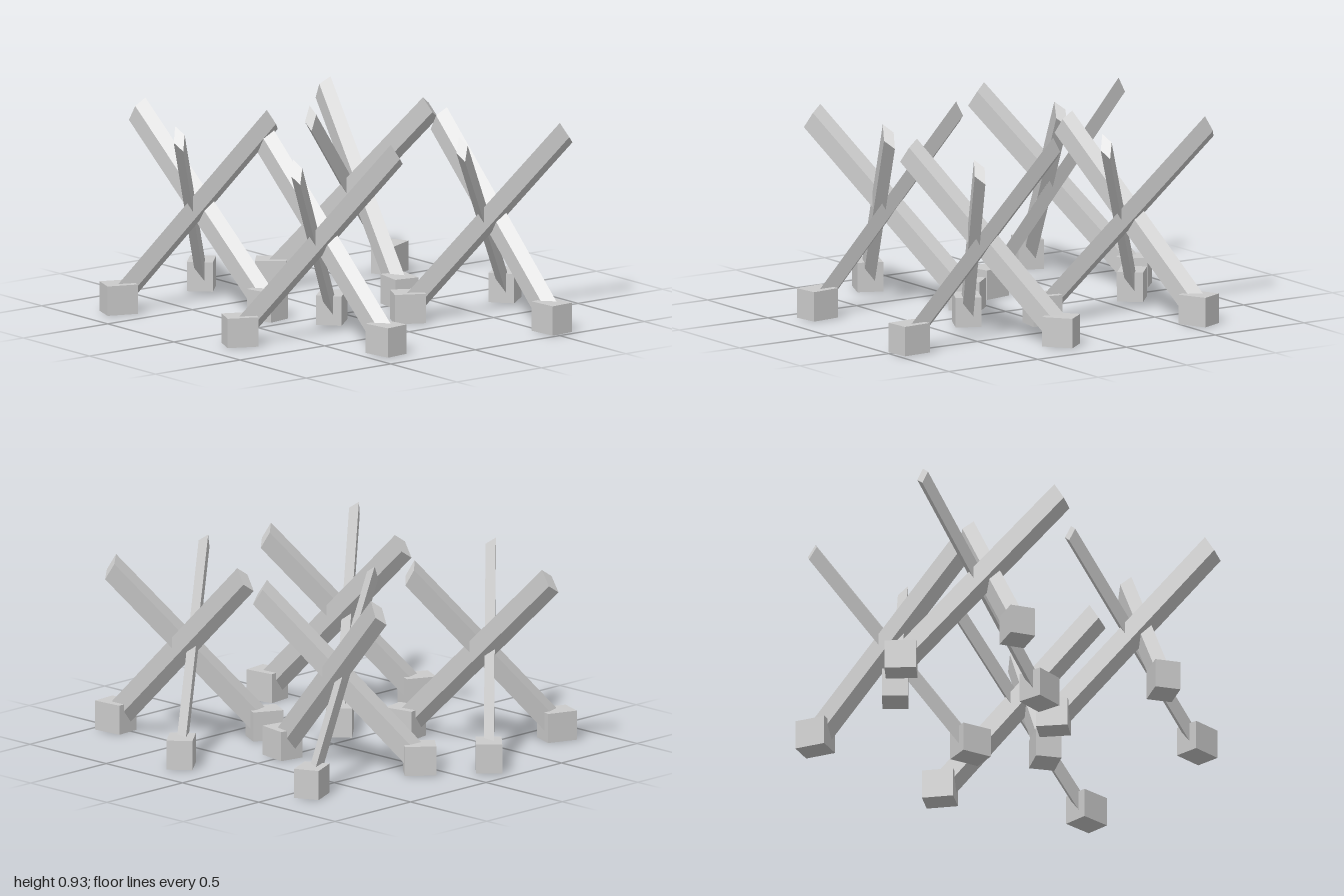
import * as THREE from 'three';

const material = new THREE.MeshStandardMaterial({ color: 0xcccccc });
const UP = new THREE.Vector3(0, 1, 0);

// Foot block centres and beam top ends of one obstacle, as [x, z]
const LEGS = [
  { foot: [-0.345, -0.165], tip: [0.302, 0.203] },
  { foot: [0.3, -0.257], tip: [-0.305, 0.191] },
  { foot: [0.044, 0.424], tip: [0.028, -0.41] },
];

// Obstacle centres and turns about the vertical (degrees)
const PLACES = [
  { x: -0.44, z: -0.55, turn: 7.5 },
  { x: 0.383, z: -0.409, turn: -13.9 },
  { x: -0.441, z: 0.384, turn: 3 },
  { x: 0.485, z: 0.479, turn: 0 },
];

// Leaning beam with a skewed section and slanted ends
function createBeam(foot, tip) {
  const start = new THREE.Vector3(foot[0], 0.06, foot[1]);
  const end = new THREE.Vector3(tip[0], 0.875, tip[1]);
  const width = 0.048, depth = 0.08, skew = 0.04, endSlant = 0.27;
  const geometry = new THREE.BoxGeometry(width, depth, start.distanceTo(end));
  const p = geometry.attributes.position;
  for (let i = 0; i < p.count; i++) {
    const y = p.getY(i) + (skew * p.getX(i)) / width;
    p.setY(i, y);
    p.setZ(i, p.getZ(i) - endSlant * y);
  }
  geometry.computeVertexNormals();

  const axis = end.clone().sub(start).normalize();
  const right = axis.clone().cross(UP).normalize();
  const normal = right.clone().cross(axis);
  const beam = new THREE.Mesh(geometry, material);
  beam.name = 'beam';
  beam.quaternion.setFromRotationMatrix(
    new THREE.Matrix4().makeBasis(right, normal, axis.clone().negate()));
  beam.position.copy(start).lerp(end, 0.5);
  return beam;
}

// Upright block around the lower end of a beam
function createFoot([x, z]) {
  const foot = new THREE.Mesh(new THREE.BoxGeometry(0.148, 0.14, 0.122), material);
  foot.name = 'footBlock';
  foot.position.set(x, 0.07, z);
  foot.rotation.y = -Math.atan2(z, x) - 0.035;
  return foot;
}

export function createModel() {
  const model = new THREE.Group();
  model.name = 'beamObstacles';
  for (const { x, z, turn } of PLACES) {
    const obstacle = new THREE.Group();
    obstacle.name = 'crossedBeamObstacle';
    for (const { foot, tip } of LEGS) {
      const leg = new THREE.Group();
      leg.name = 'leg';
      leg.add(createBeam(foot, tip), createFoot(foot));
      obstacle.add(leg);
    }
    obstacle.position.set(x, 0, z);
    obstacle.rotation.y = THREE.MathUtils.degToRad(turn);
    model.add(obstacle);
  }
  return model;
}
